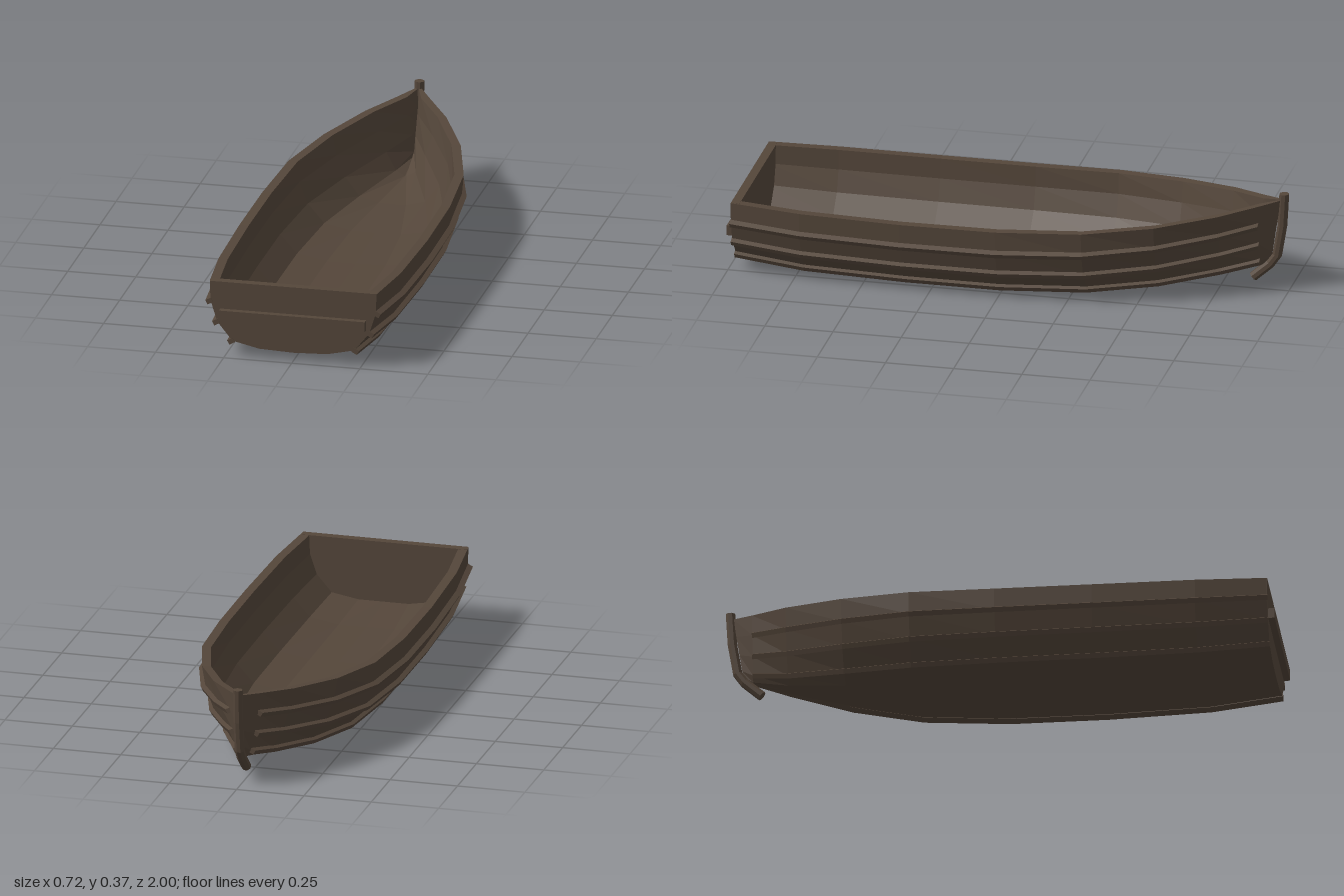
import * as THREE from 'three';

const V = (x, y, z) => new THREE.Vector3(x, y, z);

// Joins closed rings of points into a faceted skin, optionally capped at both ends.
function loft(rings, caps = true) {
  const tris = [];
  const n = rings[0].length;
  for (let i = 0; i < rings.length - 1; i++) {
    for (let j = 0; j < n; j++) {
      const a = rings[i][j], b = rings[i][(j + 1) % n];
      const c = rings[i + 1][(j + 1) % n], d = rings[i + 1][j];
      tris.push([a, b, c], [a, c, d]);
    }
  }
  if (caps) {
    const s = rings[0], e = rings[rings.length - 1];
    for (let j = 1; j < n - 1; j++) tris.push([s[0], s[j + 1], s[j]], [e[0], e[j], e[j + 1]]);
  }
  // Turn the faces outward whatever the ring direction
  let volume = 0;
  for (const [a, b, c] of tris) volume += a.dot(b.clone().cross(c));
  const pts = tris.flatMap(([a, b, c]) => (volume < 0 ? [a, c, b] : [a, b, c]));
  const g = new THREE.BufferGeometry().setFromPoints(pts);
  g.computeVertexNormals();
  return g;
}

// Hull stations, stern to bow: z, half width, sheer height, keel height, bow sharpness, rake
const STATIONS = [
  [0.975, 0.307, 0.28, 0.032, 0, 0],
  [0.72, 0.335, 0.272, 0.009, 0, 0],
  [0.35, 0.346, 0.267, 0.001, 0, 0],
  [0, 0.344, 0.268, 0, 0, 0],
  [-0.31, 0.322, 0.279, 0.008, 0.1, 0],
  [-0.56, 0.252, 0.297, 0.028, 0.35, 0],
  [-0.77, 0.15, 0.32, 0.06, 0.8, 0],
  [-0.9, 0.06, 0.337, 0.09, 1, 0],
  [-0.972, 0.01, 0.348, 0.12, 1, 0.035],
];
// Cross-section from gunwale to keel, as fractions of width and height
const FULL = [1, 0.99, 0.91, 0.73, 0.41, 0];
const SHARP = [1, 0.86, 0.65, 0.4, 0.2, 0];
const HEIGHT = [1, 0.7, 0.385, 0.11, 0.02, 0];

const halfSection = ([z, w, top, keel, sharp, rake]) => HEIGHT.map((h, i) => V(
  w * THREE.MathUtils.lerp(FULL[i], SHARP[i], sharp),
  keel + (top - keel) * h,
  z + rake * (1 - h)));

const mirrorX = (p) => V(-p.x, p.y, p.z);
const wholeSection = (half) => [...half, ...half.slice(0, -1).reverse().map(mirrorX)];

export function createModel() {
  const model = new THREE.Group();
  const wood = new THREE.MeshStandardMaterial({ color: 0x54463a });
  wood.name = 'dark wood';
  const add = (geometry, name) => {
    const mesh = new THREE.Mesh(geometry, wood);
    mesh.name = name;
    model.add(mesh);
    return mesh;
  };

  // Hull shell: outer planking, flat rim and inner lining
  const sections = STATIONS.map(halfSection);
  add(loft(sections.map((half) => {
    const inner = half.map((p, i) => V(Math.max(0, p.x - 0.034), p.y + 0.005 * i, p.z));
    return [...wholeSection(half), ...wholeSection(inner).reverse()];
  }), false), 'hull');

  // Transom board closing the stern
  const stern = wholeSection(sections[0]);
  add(loft([0.945, 0.977].map((z) => stern.map((p) => V(p.x * 0.998, p.y, z)))), 'transom');

  // Cross bar on the transom
  const bar = add(new THREE.BoxGeometry(0.536, 0.038, 0.04), 'transomBar');
  bar.position.set(0, 0.159, 0.98);

  // Three rubbing strakes along each side
  const angle = -0.5;
  const out = V(Math.cos(angle), Math.sin(angle), 0);
  const up = V(-out.y, out.x, 0);
  const corners = [[-0.007, -0.009], [0.016, -0.009], [0.016, 0.009], [-0.007, 0.009]];
  for (const row of [1, 2, 3]) {
    const rings = sections.slice(0, -1).map((half, i) => corners.map(([o, u]) => {
      const p = half[row].clone().addScaledVector(out, o).addScaledVector(up, u);
      if (i === 0) p.z += 0.004;
      return p;
    }));
    add(loft(rings), 'leftStrake' + row);
    add(loft(rings.map((r) => r.map(mirrorX))), 'rightStrake' + row);
  }

  // Stem post: an eight-sided bar bent around the bow
  const path = [[0.045, -0.87], [0.1, -0.932], [0.135, -0.957], [0.25, -0.976], [0.372, -0.983]]
    .map(([y, z]) => V(0, y, z));
  add(loft(path.map((p, i) => {
    const t = path[Math.min(i + 1, path.length - 1)].clone().sub(path[Math.max(i - 1, 0)]).normalize();
    if (i === path.length - 1) t.set(0, 1, 0);
    const side = V(0, -t.z, t.y);
    return Array.from({ length: 8 }, (_, k) => {
      const a = ((k + 0.5) / 8) * Math.PI * 2;
      return p.clone().addScaledVector(side, Math.sin(a) * 0.018).add(V(Math.cos(a) * 0.018, 0, 0));
    });
  })), 'stemPost');

  return model;
}
